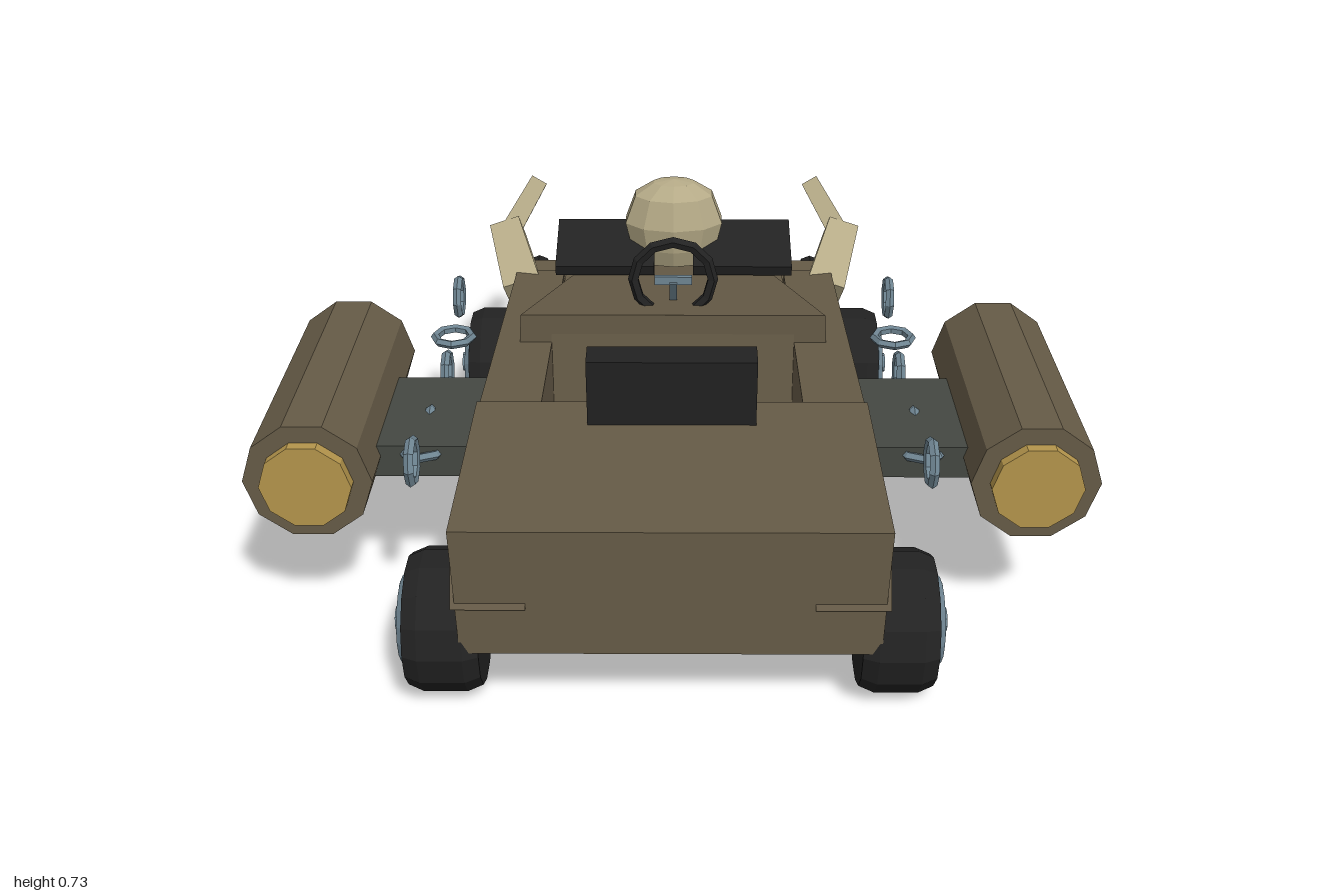
import * as THREE from 'three';

const mat = (name, color) => {
  const m = new THREE.MeshStandardMaterial({ color, flatShading: true });
  m.name = name;
  return m;
};

export function createModel() {
  const olive = mat('olive brown', 0x665b47);
  const black = mat('black', 0x222222);
  const steel = mat('blue steel', 0x6f8592);
  const bone = mat('bone', 0xb5aa87);
  const gold = mat('brass', 0xb4954c);
  const slate = mat('dark slate', 0x444842);

  const model = new THREE.Group();
  model.name = 'kart';

  const add = (name, geo, material, x = 0, y = 0, z = 0, parent = model) => {
    const m = new THREE.Mesh(geo, material);
    m.name = name;
    m.position.set(x, y, z);
    parent.add(m);
    return m;
  };
  // box given by its limits
  const box = (name, material, x0, x1, y0, y1, z0, z1, parent) =>
    add(name, new THREE.BoxGeometry(Math.abs(x1 - x0), y1 - y0, z1 - z0), material,
      (x0 + x1) / 2, (y0 + y1) / 2, (z0 + z1) / 2, parent);

  // hull through sections [zBottom, halfBottom, yBottom, zTop, halfTop, yTop], from -z to +z
  const loft = (sections) => {
    const rings = sections.map(([zb, wb, yb, zt, wt, yt]) =>
      [[-wb, yb, zb], [wb, yb, zb], [wt, yt, zt], [-wt, yt, zt]]);
    const pos = [];
    const quad = (a, b, c, d) => pos.push(...a, ...b, ...c, ...a, ...c, ...d);
    for (let s = 0; s + 1 < rings.length; s++) {
      const a = rings[s], b = rings[s + 1];
      for (let i = 0; i < 4; i++) quad(a[i], a[(i + 1) % 4], b[(i + 1) % 4], b[i]);
    }
    const lo = rings[0], hi = rings[rings.length - 1];
    quad(lo[3], lo[2], lo[1], lo[0]);
    quad(hi[0], hi[1], hi[2], hi[3]);
    const g = new THREE.BufferGeometry();
    g.setAttribute('position', new THREE.Float32BufferAttribute(pos, 3));
    g.computeVertexNormals();
    return g;
  };

  // square bar between two points
  const bar = (name, material, from, to, w0, w1, parent = model) => {
    const a = new THREE.Vector3(...from), b = new THREE.Vector3(...to);
    const g = new THREE.CylinderGeometry(w1 * 0.707, w0 * 0.707, a.distanceTo(b), 4).rotateY(Math.PI / 4);
    const m = add(name, g, material, 0, 0, 0, parent);
    m.position.copy(a).add(b).multiplyScalar(0.5);
    m.quaternion.setFromUnitVectors(new THREE.Vector3(0, 1, 0), b.sub(a).normalize());
    return m;
  };

  // body
  add('engineBody', loft([[0.36, 0.465, 0.18, 0.36, 0.475, 0.495], [0.95, 0.465, 0.18, 0.95, 0.475, 0.495]]), olive);
  add('noseBody', loft([
    [-0.82, 0.26, 0.19, -0.77, 0.24, 0.43],
    [-0.6, 0.33, 0.19, -0.58, 0.31, 0.455],
    [0.01, 0.33, 0.19, -0.03, 0.32, 0.49]]), olive);
  add('hood', loft([[-0.6, 0.3, 0.4, -0.58, 0.24, 0.465], [-0.03, 0.41, 0.4, -0.03, 0.4, 0.545]]), olive);

  // seat
  box('seatCushion', black, -0.2, 0.2, 0.29, 0.45, 0.05, 0.36);
  const seatBack = new THREE.Group();
  seatBack.name = 'seatBack';
  seatBack.position.set(0, 0.58, 0.447);
  seatBack.rotation.x = 0.08;
  model.add(seatBack);
  box('backrest', black, -0.2, 0.2, -0.09, 0.09, -0.037, 0.037, seatBack);
  box('backPad', black, -0.145, 0.145, -0.06, 0.06, -0.06, -0.037, seatBack);

  // steering
  add('steeringWheel', new THREE.TorusGeometry(0.105, 0.015, 5, 12), black, 0, 0.605, -0.13);
  box('steeringSpoke', steel, -0.05, 0.05, 0.59, 0.612, -0.14, -0.125);
  bar('steeringColumn', steel, [0, 0.6, -0.13], [0, 0.5, -0.2], 0.02, 0.02);

  // skull with the face towards -z
  const skull = new THREE.Group();
  skull.name = 'skull';
  skull.position.set(0, 0, -0.545);
  model.add(skull);
  const profile = [[0, 0.47], [0.1, 0.49], [0.128, 0.54], [0.145, 0.61], [0.115, 0.69], [0.06, 0.725], [0, 0.733]];
  const cranium = add('cranium', new THREE.LatheGeometry(profile.map((p) => new THREE.Vector2(...p)), 10), bone, 0, 0, 0, skull);
  cranium.scale.z = 0.7;
  box('jaw', bone, -0.07, 0.07, 0.455, 0.53, -0.1, 0, skull);
  box('noseHole', black, -0.012, 0.012, 0.54, 0.57, -0.107, -0.07, skull);
  for (const s of [-1, 1]) box('eye', black, s * 0.035, s * 0.09, 0.57, 0.64, -0.11, -0.06, skull);
  for (let i = 0; i < 4; i++) {
    const x = -0.048 + i * 0.032;
    box('toothGap', black, x - 0.009, x + 0.009, 0.475, 0.5, -0.107, -0.099, skull);
  }

  // wheel, outer side facing +x
  const addWheel = (parent, z) => {
    const wheel = new THREE.Group();
    wheel.name = 'wheel';
    wheel.position.set(0.51, 0.165, z);
    parent.add(wheel);
    const tyre = [[0, -0.085], [0.15, -0.085], [0.165, -0.05], [0.165, 0.05], [0.15, 0.085], [0, 0.085]];
    add('tyre', new THREE.LatheGeometry(tyre.map((p) => new THREE.Vector2(...p)), 14).rotateZ(-Math.PI / 2), black, 0, 0, 0, wheel);
    add('rim', new THREE.TorusGeometry(0.098, 0.013, 4, 16).rotateY(Math.PI / 2), steel, 0.09, 0, 0, wheel);
    add('hub', new THREE.CylinderGeometry(0.028, 0.028, 0.04, 10).rotateZ(Math.PI / 2), steel, 0.098, 0, 0, wheel);
    for (let i = 0; i < 5; i++) {
      const a = (i / 5) * Math.PI * 2;
      bar('spoke', steel, [0.094, 0, 0], [0.094, Math.cos(a) * 0.095, Math.sin(a) * 0.095], 0.026, 0.02, wheel);
    }
  };

  // everything that comes in pairs, built on +x
  const buildSide = (side) => {
    add('sideRail', loft([[-0.59, 0.07, 0.3, -0.59, 0.07, 0.43], [0.36, 0.077, 0.3, 0.36, 0.075, 0.492]]), olive, 0.393, 0, 0, side);
    add('rearFender', loft([[0.6, 0.082, 0.3, 0.6, 0.082, 0.46], [0.957, 0.082, 0.3, 0.87, 0.082, 0.46]]), olive, 0.397, 0, 0, side);
    box('frontFender', olive, 0.31, 0.42, 0.3, 0.42, -0.69, -0.55, side);

    const wing = box('skullWing', black, 0.055, 0.335, -0.016, 0.016, -0.105, 0.105, side);
    wing.position.y = 0.54;
    wing.position.z = -0.507;
    wing.rotation.x = 0.31;

    bar('hornBase', bone, [0.44, 0.37, -0.57], [0.505, 0.49, -0.765], 0.11, 0.09, side);
    bar('hornTip', bone, [0.5, 0.48, -0.755], [0.41, 0.62, -0.835], 0.06, 0.05, side);
    add('exhaustPipe', new THREE.CylinderGeometry(0.036, 0.036, 0.4, 8).rotateX(Math.PI / 2), black, 0.43, 0.283, -0.765, side);

    addWheel(side, 0.795);
    addWheel(side, -0.515);

    // booster drum and its mount
    const drum = (r, len) => new THREE.CylinderGeometry(r, r, len, 10).rotateY(Math.PI / 2).rotateX(Math.PI / 2);
    add('drum', drum(0.152, 0.69), olive, 0.848, 0.41, 0.255, side);
    add('drumCap', drum(0.108, 0.03), gold, 0.848, 0.41, 0.613, side);
    box('drumMount', slate, 0.45, 0.72, 0.355, 0.437, 0.12, 0.48, side);

    // sagging chain, links alternately upright and flat
    for (let i = 0; i < 7; i++) {
      const z = -0.32 + i * 0.1535;
      const link = new THREE.TorusGeometry(0.051, 0.012, 5, 8);
      if (i % 2) link.rotateX(Math.PI / 2); else link.rotateY(Math.PI / 2);
      add('chainLink', link, steel, 0.6, 0.375 + 0.43 * (z - 0.14) ** 2, z, side);
    }
  };
  for (const s of [1, -1]) {
    const side = new THREE.Group();
    side.name = s > 0 ? 'leftSide' : 'rightSide';
    buildSide(side);
    side.scale.x = s;
    model.add(side);
  }
  return model;
}
